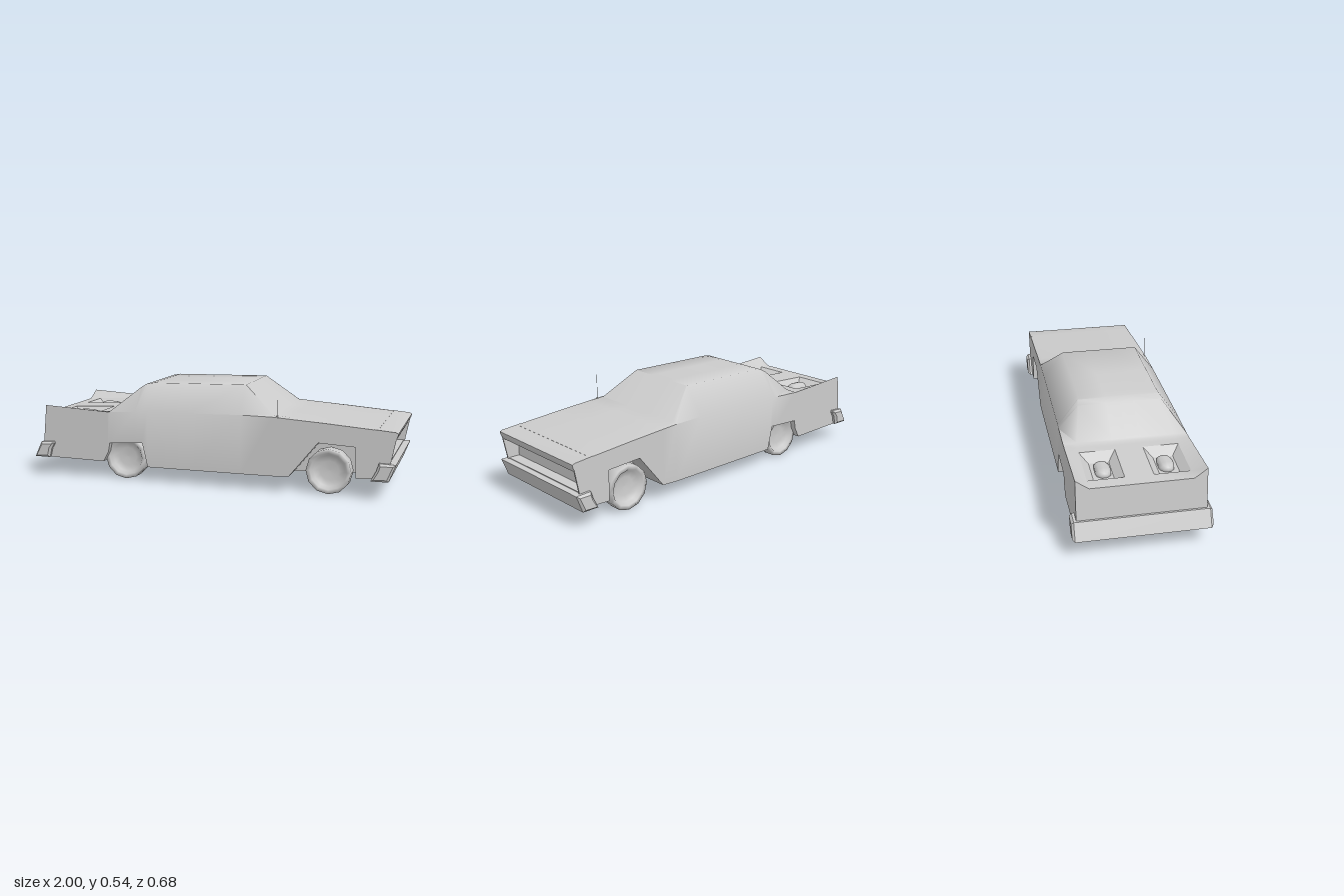
import * as THREE from 'three';
import { toCreasedNormals } from 'three/addons/utils/BufferGeometryUtils.js';

const material = new THREE.MeshStandardMaterial({ color: 0xcccccc, side: THREE.DoubleSide });

function add(parent, name, geometry, x = 0, y = 0, z = 0) {
  const mesh = new THREE.Mesh(geometry, material);
  mesh.name = name;
  mesh.position.set(x, y, z);
  parent.add(mesh);
  return mesh;
}

// Linear lookup in a list of [x, value] pairs
function at(table, x) {
  for (let i = 1; i < table.length; i++) {
    const [x0, v0] = table[i - 1], [x1, v1] = table[i];
    if (x <= x1) return v0 + (v1 - v0) * Math.max(0, (x - x0) / (x1 - x0));
  }
  return table[table.length - 1][1];
}

// Triangle list to geometry, dropping collapsed triangles
function fromTriangles(triangles, crease) {
  const positions = [];
  for (const t of triangles) {
    const area = new THREE.Triangle(...t).getArea();
    if (area > 1e-7) t.forEach((p) => positions.push(p.x, p.y, p.z));
  }
  const g = new THREE.BufferGeometry();
  g.setAttribute('position', new THREE.Float32BufferAttribute(positions, 3));
  return toCreasedNormals(g, crease);
}

const quad = (a, b, c, d) => [[a, b, c], [a, c, d]];
const vec = (x, y, z) => new THREE.Vector3(x, y, z);

// Body heights and widths along the length
const SILL = [[-0.93, 0.1], [-0.59, 0.095], [-0.33, 0.08], [0.35, 0.08], [0.45, 0.085], [0.9, 0.105]];
const ARCH = [[-0.59, 0], [-0.55, 0.2], [-0.36, 0.21], [-0.33, 0], [0.45, 0], [0.6, 0.27], [0.79, 0.26], [0.794, 0]];
const BELT = [[-0.93, 0.39], [-0.56, 0.37], [-0.33, 0.38], [0.19, 0.392], [0.36, 0.39], [0.64, 0.372], [0.9, 0.352]];
const TOP = [[-0.93, 0.345], [-0.56, 0.365], [-0.4, 0.5], [-0.37, 0.518], [-0.33, 0.525], [0.19, 0.535],
  [0.36, 0.397], [0.64, 0.374], [0.9, 0.354]];
const TOP_WIDTH = [[-0.93, 0.25], [-0.56, 0.25], [-0.4, 0.215], [-0.33, 0.205], [0.19, 0.205], [0.36, 0.29], [0.9, 0.29]];
const STATIONS = [-0.93, -0.87, -0.63, -0.59, -0.56, -0.55, -0.4, -0.37, -0.36, -0.33, -0.1, 0.19, 0.36,
  0.45, 0.6, 0.64, 0.79, 0.794, 0.9];
const HALF = 0.315;

function section(x) {
  const sill = at(SILL, x), arch = Math.max(sill, at(ARCH, x));
  const belt = at(BELT, x), top = at(TOP, x), w = at(TOP_WIDTH, x);
  const half = [[sill, 0], [sill, 0.18], [arch, 0.18], [arch, HALF], [belt, HALF], [top, w], [top, 0.07], [top, 0]];
  const mirrored = half.slice(1, -1).reverse().map(([y, z]) => [y, -z]);
  const lean = x === -0.93 ? 0.1 : 0;
  return [...half, ...mirrored].map(([y, z]) => vec(x - (0.39 - y) * lean, y, z));
}

function bodyGeometry() {
  const rings = STATIONS.map(section);
  const n = rings[0].length;
  const triangles = [];
  for (let i = 0; i < rings.length - 1; i++) {
    for (let j = 0; j < n; j++) {
      // Leave openings for the two trunk wells
      if (STATIONS[i] === -0.87 && (j === 5 || j === 8)) continue;
      const k = (j + 1) % n;
      triangles.push(...quad(rings[i][j], rings[i + 1][j], rings[i + 1][k], rings[i][k]));
    }
  }
  const rear = rings[0], front = rings[rings.length - 1];
  for (let j = 1; j < n - 1; j++) {
    triangles.push([rear[0], rear[j], rear[j + 1]], [front[0], front[j + 1], front[j]]);
  }
  return fromTriangles(triangles, 1.0);
}

// Sunken tray with sloping walls
function wellGeometry(side) {
  const zs = [0.07, 0.25].map((z) => z * side).sort((a, b) => a - b);
  const rect = (x0, x1, z0, z1, drop) => [[x0, z0], [x0, z1], [x1, z1], [x1, z0]]
    .map(([x, z]) => vec(x, at(TOP, x) - drop, z));
  const rim = rect(-0.87, -0.63, zs[0], zs[1], 0);
  const floor = rect(-0.82, -0.68, zs[0] + 0.04, zs[1] - 0.04, 0.035);
  const triangles = quad(...floor);
  for (let i = 0; i < 4; i++) {
    const k = (i + 1) % 4;
    triangles.push(...quad(rim[i], rim[k], floor[k], floor[i]));
  }
  return fromTriangles(triangles, 0.2);
}

// Side profile (x, y) extruded across the car, centred on z = 0
function across(points, width, bevel = 0) {
  const shape = new THREE.Shape(points.map(([x, y]) => new THREE.Vector2(x, y)));
  const g = new THREE.ExtrudeGeometry(shape, {
    depth: width - 2 * bevel, bevelEnabled: bevel > 0, bevelThickness: bevel,
    bevelSize: bevel, bevelOffset: -bevel, bevelSegments: 1,
  });
  g.translate(0, 0, bevel - width / 2);
  return toCreasedNormals(g, 0.5);
}

function wheelGeometry() {
  const outer = [[0.118, 0.033], [0.096, 0.033], [0.082, 0.012], [0.05, 0.002], [0, 0]];
  const inner = outer.map(([r, y]) => [r, -y]).reverse();
  const g = new THREE.LatheGeometry([...inner, ...outer].map(([r, y]) => new THREE.Vector2(r, y)), 12);
  g.rotateX(Math.PI / 2);
  return g;
}

export function createModel() {
  const car = new THREE.Group();
  car.name = 'car';
  add(car, 'body', bodyGeometry());

  // Trunk wells, each with a low oblong mound
  for (const side of [1, -1]) {
    add(car, 'trunkWell', wellGeometry(side));
    const mound = new THREE.CapsuleGeometry(0.04, 0.05, 3, 10);
    mound.rotateZ(Math.PI / 2);
    mound.scale(1, 0.7, 1);
    add(car, 'trunkMound', mound, -0.75, 0.325, side * 0.155);
  }

  // Nose: overhanging hood lip and thin side walls around a recessed grille
  add(car, 'hoodLip', across([[0.88, 0.3], [0.985, 0.3], [0.997, 0.325], [1, 0.34], [0.985, 0.346], [0.88, 0.355]], 2 * HALF));
  for (const side of [1, -1]) {
    add(car, 'noseSide', across([[0.88, 0.105], [0.95, 0.105], [0.99, 0.31], [0.88, 0.31]], 0.008), 0, 0, side * (HALF - 0.004));
  }
  add(car, 'noseFloor', across([[0.88, 0.105], [0.95, 0.105], [0.96, 0.19], [0.88, 0.19]], 2 * HALF - 0.01));

  // Bumpers with wrapped ends
  add(car, 'frontBumper', across([[0.87, 0.095], [0.96, 0.095], [0.995, 0.185], [0.91, 0.188], [0.898, 0.15]], 0.68, 0.012));
  add(car, 'rearBumper', across([[-1, 0.1], [-0.91, 0.1], [-0.898, 0.15], [-0.88, 0.18], [-0.885, 0.19], [-0.96, 0.185]], 0.68, 0.012));

  // Wheels
  const wheel = wheelGeometry();
  for (const [name, x] of [['rearWheel', -0.47], ['frontWheel', 0.65]]) {
    for (const side of [1, -1]) add(car, name, wheel, x, 0.118, side * 0.251);
  }

  // Aerial on the left front fender
  add(car, 'aerial', new THREE.BoxGeometry(0.001, 0.135, 0.002), 0.385, 0.458, 0.308);
  add(car, 'aerialBase', new THREE.BoxGeometry(0.012, 0.006, 0.01), 0.385, 0.39, 0.307);
  return car;
}
